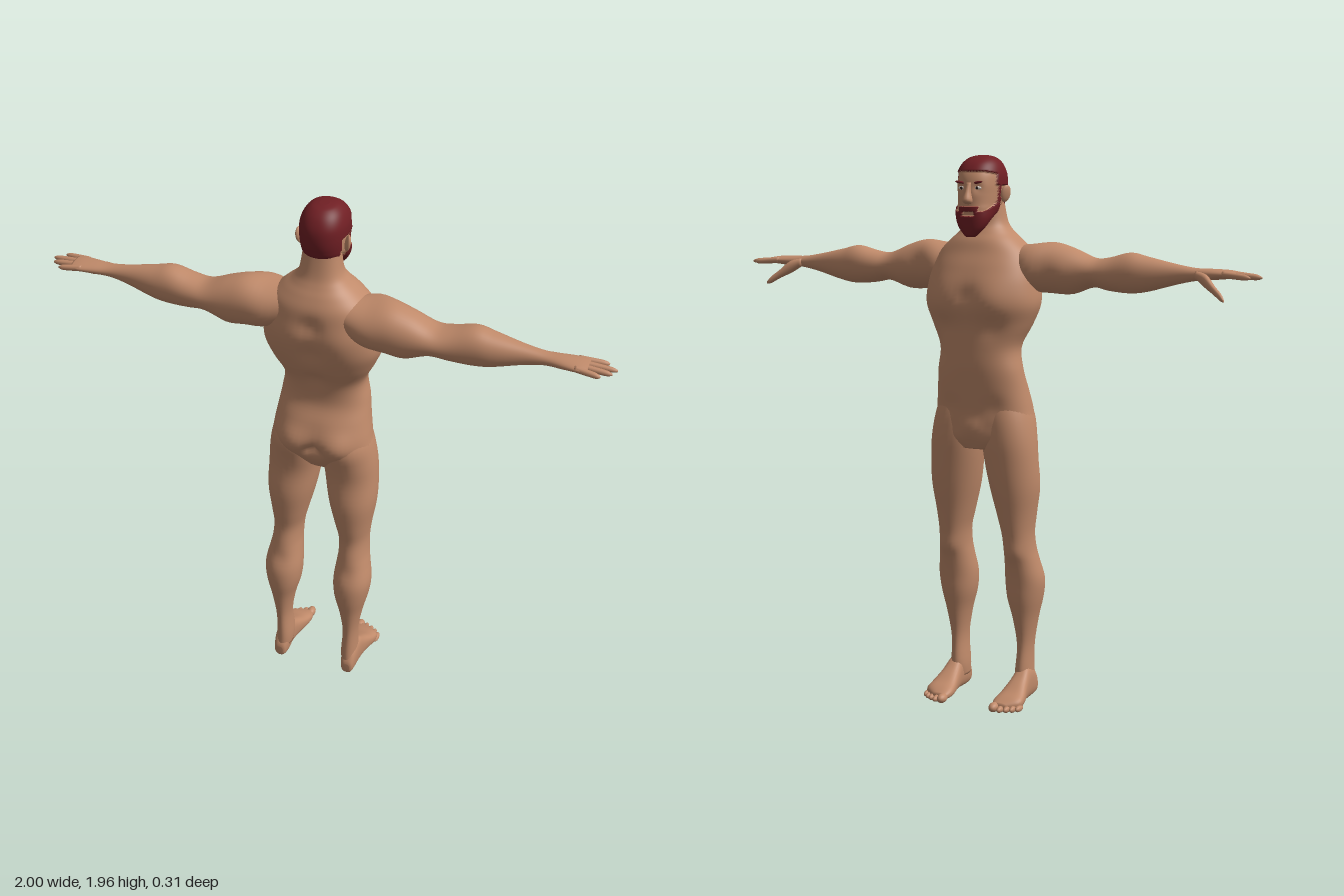
import * as THREE from 'three';

const mat = (name, hex) => Object.assign(new THREE.MeshStandardMaterial({ color: hex }), { name });

// Smooth spline value between control rows
function spline(rows, t) {
  const last = rows.length - 1;
  const i = Math.min(Math.floor(t), last - 1), f = t - i;
  const at = (k) => rows[Math.max(0, Math.min(last, k))];
  return rows[i].map((b, c) => {
    const a = at(i - 1)[c], d = at(i + 1)[c], e = at(i + 2)[c];
    return b + 0.5 * f * (d - a + f * (2 * a - 5 * b + 4 * d - e + f * (3 * (b - d) + e - a)));
  });
}

// Loft of rounded sections. Row = [t, u0, u1, v0, v1], t ascending along the axis.
// Axis x: u=y v=z. Axis y: u=z v=x. Axis z: u=x v=y.
function loft(axis, rows, { n = 32, sub = 4, p = 0.95 } = {}) {
  const pos = [], idx = [], steps = (rows.length - 1) * sub;
  const put = (t, u, v) => pos.push(...(axis === 'x' ? [t, u, v] : axis === 'y' ? [v, t, u] : [u, v, t]));
  const bend = (s) => Math.sign(s) * Math.abs(s) ** p;
  for (let i = 0; i <= steps; i++) {
    const [t, u0, u1, v0, v1] = spline(rows, i / sub);
    for (let j = 0; j < n; j++) {
      const a = (j / n) * Math.PI * 2;
      put(t, (u0 + u1) / 2 + (u1 - u0) / 2 * bend(Math.cos(a)), (v0 + v1) / 2 + (v1 - v0) / 2 * bend(Math.sin(a)));
    }
  }
  for (let i = 0; i < steps; i++) for (let j = 0; j < n; j++) {
    const k = (j + 1) % n, a = i * n + j, b = i * n + k;
    idx.push(a, b, b + n, a, b + n, a + n);
  }
  // End caps
  const base = (steps + 1) * n;
  for (const r of [rows[0], rows[rows.length - 1]]) put(r[0], (r[1] + r[2]) / 2, (r[3] + r[4]) / 2);
  for (let j = 0; j < n; j++) {
    const k = (j + 1) % n;
    idx.push(base, k, j, base + 1, steps * n + j, steps * n + k);
  }
  const g = new THREE.BufferGeometry();
  g.setAttribute('position', new THREE.Float32BufferAttribute(pos, 3));
  g.setIndex(idx);
  g.computeVertexNormals();
  return g;
}

// Push the surface along its normals by amount(x, y, z)
function displace(g, amount) {
  const P = g.attributes.position, N = g.attributes.normal;
  for (let i = 0; i < P.count; i++) {
    const x = P.getX(i), y = P.getY(i), z = P.getZ(i), d = amount(x, y, z);
    P.setXYZ(i, x + N.getX(i) * d, y + N.getY(i) * d, z + N.getZ(i) * d);
  }
  g.computeVertexNormals();
  return g;
}

// Soft muscles and grooves, the same on both sides: [x, y, z, radius, height]
const sculpt = (g, bumps) => displace(g, (x, y, z) => bumps.reduce((s, [bx, by, bz, r, h]) =>
  s + h * Math.exp(-((Math.abs(x) - bx) ** 2 + (y - by) ** 2 + (z - bz) ** 2) / (r * r)), 0));

function mirrored(g) {
  const m = g.clone().scale(-1, 1, 1), a = m.index.array;
  for (let i = 0; i < a.length; i += 3) [a[i], a[i + 1]] = [a[i + 1], a[i]];
  m.computeVertexNormals();
  return m;
}

const ball = (sx, sy, sz, x, y, z, tilt = 0) =>
  new THREE.SphereGeometry(1, 20, 14).scale(sx, sy, sz).rotateZ(tilt).translate(x, y, z);

// Hair, sideburns, beard and moustache region of the head
function isHair(x, y, z) {
  const ax = Math.abs(x);
  if (z > 0.03) return y > 1.785;
  if (z > -0.018) return y > 1.862 || y < 1.772;
  if (z > -0.045) return y > 1.865 || y < 1.80 || z > -0.038;
  if (y > 1.86) return y > 1.907 - 0.25 * Math.max(0, ax - 0.045);
  if (ax < 0.022 && z < -0.08 && y > 1.757 && y < 1.771) return false;
  if (ax < 0.034 && z < -0.08) return y < 1.789;
  return y < 1.772 + 0.5 * Math.max(0, z + 0.1);
}

export function createModel() {
  const model = new THREE.Group();
  model.name = 'figure';
  const skin = mat('skin', 0xc08a6a), hair = mat('hair', 0x701f24);
  const white = mat('eyeWhite', 0xd8cfc6), dark = mat('iris', 0x2a1a16);

  const add = (name, g, m) => {
    const mesh = new THREE.Mesh(g, m);
    mesh.name = name;
    model.add(mesh);
  };
  const pair = (name, g, m) => {
    add('left ' + name, g, m);
    add('right ' + name, mirrored(g), m);
  };

  // Torso and neck: y, front, back, half width
  const torso = [
    [0.94, -0.08, 0.07, 0.08], [0.98, -0.098, 0.098, 0.15], [1.03, -0.1, 0.122, 0.182], [1.08, -0.105, 0.128, 0.178],
    [1.15, -0.115, 0.108, 0.167], [1.22, -0.122, 0.079, 0.157], [1.3, -0.126, 0.086, 0.147], [1.38, -0.13, 0.12, 0.182],
    [1.45, -0.143, 0.143, 0.208], [1.52, -0.137, 0.152, 0.204], [1.58, -0.117, 0.15, 0.19], [1.63, -0.092, 0.143, 0.17],
    [1.67, -0.075, 0.125, 0.132], [1.7, -0.055, 0.107, 0.098], [1.73, -0.04, 0.093, 0.076], [1.78, -0.035, 0.081, 0.066],
    [1.84, -0.03, 0.07, 0.06],
  ].map(([y, f, b, w]) => [y, f, b, -w, w]);
  add('torso', sculpt(loft('y', torso, { n: 64, sub: 5, p: 0.86 }), [
    [0.085, 1.47, -0.13, 0.065, 0.012], [0, 1.48, -0.14, 0.03, -0.008], [0.09, 1.37, -0.12, 0.04, -0.006],
    [0, 1.57, 0.15, 0.035, -0.012], [0, 1.46, 0.145, 0.04, -0.012], [0, 1.33, 0.1, 0.04, -0.01],
    [0.1, 1.52, 0.14, 0.06, 0.008], [0.08, 1.07, 0.12, 0.055, 0.018], [0, 1.04, 0.125, 0.028, -0.03],
    [0, 1.02, -0.1, 0.035, 0.014], [0.09, 1.09, -0.1, 0.04, -0.006], [0, 1.25, -0.12, 0.06, 0.004],
  ]), skin);

  // Legs: y, front, back, inner x, outer x
  pair('leg', sculpt(loft('y', [
    [0.05, 0.03, 0.13, 0.105, 0.165], [0.1, 0.02, 0.128, 0.102, 0.162], [0.2, 0.028, 0.125, 0.108, 0.162],
    [0.3, 0.012, 0.136, 0.093, 0.178], [0.38, -0.005, 0.148, 0.072, 0.197], [0.45, -0.012, 0.145, 0.066, 0.205],
    [0.52, -0.025, 0.122, 0.072, 0.193], [0.57, -0.04, 0.11, 0.076, 0.184], [0.63, -0.05, 0.1, 0.072, 0.182],
    [0.7, -0.062, 0.108, 0.055, 0.19], [0.8, -0.08, 0.115, 0.03, 0.204], [0.9, -0.09, 0.102, 0.012, 0.203],
    [0.98, -0.095, 0.108, 0.003, 0.197], [1.06, -0.09, 0.113, 0.004, 0.182], [1.14, -0.07, 0.08, 0.02, 0.155],
  ]), [[0.13, 0.56, -0.04, 0.035, 0.006], [0.1, 1.03, 0.11, 0.05, 0.008], [0.13, 0.5, 0.12, 0.03, -0.004]]), skin);

  // Feet: z, inner x, outer x, bottom, top
  pair('foot', loft('z', [
    [-0.122, 0.095, 0.145, 0.006, 0.03], [-0.09, 0.086, 0.188, 0.002, 0.046], [-0.05, 0.09, 0.19, 0, 0.062],
    [0, 0.1, 0.178, 0.002, 0.092], [0.05, 0.108, 0.17, 0, 0.125], [0.1, 0.108, 0.166, 0, 0.11],
    [0.128, 0.115, 0.16, 0.005, 0.07], [0.135, 0.125, 0.15, 0.015, 0.05],
  ], { p: 0.8 }), skin);
  [[0.105, -0.127, 0.017], [0.13, -0.122, 0.011], [0.151, -0.112, 0.011], [0.17, -0.101, 0.01], [0.186, -0.086, 0.011]]
    .forEach(([x, z, r], i) => pair(`toe ${i + 1}`, ball(r, Math.max(r, 0.012), 0.026, x, Math.max(r, 0.012), z), skin));

  // Arms and palms: x, bottom, top, front, back
  pair('arm', sculpt(loft('x', [
    [0.08, 1.55, 1.655, 0, 0.12], [0.17, 1.5, 1.658, -0.055, 0.142], [0.25, 1.49, 1.666, -0.036, 0.14],
    [0.32, 1.49, 1.648, -0.026, 0.134], [0.4, 1.515, 1.616, -0.016, 0.123], [0.46, 1.506, 1.62, -0.018, 0.115],
    [0.535, 1.5, 1.638, -0.018, 0.108], [0.6, 1.508, 1.625, -0.01, 0.1], [0.7, 1.535, 1.604, 0.01, 0.077],
    [0.77, 1.55, 1.593, 0.015, 0.07], [0.83, 1.555, 1.592, 0.008, 0.08], [0.88, 1.56, 1.59, 0.002, 0.088],
    [0.91, 1.564, 1.586, 0.004, 0.084],
  ], { n: 40 }), [[0.2, 1.64, -0.02, 0.05, 0.006], [0.31, 1.5, 0.1, 0.04, 0.004], [0.3, 1.57, -0.02, 0.04, 0.006]]), skin);

  // Fingers: root z, tip z, tip x
  [[0.014, 0.0, 0.968], [0.035, 0.03, 1], [0.055, 0.056, 0.988], [0.075, 0.083, 0.955]].forEach(([z0, z1, tip], i) => {
    const rows = [[0, 0.011], [0.5, 0.0105], [0.85, 0.009], [1, 0.003]].map(([f, r]) => {
      const z = z0 + (z1 - z0) * f, y = 1.576 - 0.008 * f;
      return [0.87 + (tip - 0.87) * f, y - r, y + r, z - r, z + r];
    });
    pair(`finger ${i + 1}`, loft('x', rows, { n: 14 }), skin);
  });
  pair('thumb', loft('x', [
    [0.775, 1.558, 1.585, 0.01, 0.045], [0.815, 1.53, 1.575, -0.01, 0.03], [0.85, 1.511, 1.542, -0.026, 0.002],
    [0.88, 1.492, 1.516, -0.039, -0.018], [0.893, 1.489, 1.498, -0.041, -0.032],
  ], { n: 16 }), skin);

  // Head with hair and beard raised from the skin: y, front, back, half width
  const head = loft('y', [
    [1.692, -0.112, -0.085, 0.014], [1.72, -0.116, -0.062, 0.04], [1.75, -0.118, -0.03, 0.056], [1.78, -0.119, 0.03, 0.065],
    [1.8, -0.118, 0.07, 0.069], [1.83, -0.117, 0.084, 0.072], [1.865, -0.115, 0.088, 0.074], [1.9, -0.104, 0.083, 0.072],
    [1.93, -0.082, 0.066, 0.06], [1.949, -0.05, 0.042, 0.04], [1.956, -0.018, 0.016, 0.015],
  ].map(([y, f, b, w]) => [y, f, b, -w, w]), { n: 96, sub: 12, p: 0.88 });
  const H = head.attributes.position, flag = [];
  for (let i = 0; i < H.count; i++) flag.push(isHair(H.getX(i), H.getY(i), H.getZ(i)));
  const groups = [[], []], tri = head.index.array;
  for (let i = 0; i < tri.length; i += 3) {
    const c = [tri[i], tri[i + 1], tri[i + 2]];
    groups[c.filter((k) => flag[k]).length > 1 ? 1 : 0].push(...c);
  }
  displace(head, (x, y, z) => (isHair(x, y, z) ? 0.007 : 0)
    - 0.006 * Math.exp(-((Math.abs(x) - 0.03) ** 2 + (y - 1.853) ** 2 + (z + 0.11) ** 2) / 0.0003));
  head.setIndex([...groups[0], ...groups[1]]);
  head.addGroup(0, groups[0].length, 0);
  head.addGroup(groups[0].length, groups[1].length, 1);
  add('head with hair and beard', head, [skin, hair]);

  // Face details
  add('nose', loft('y', [
    [1.797, -0.126, -0.1, 0.01], [1.81, -0.144, -0.1, 0.017], [1.84, -0.132, -0.1, 0.01], [1.87, -0.119, -0.1, 0.009],
  ].map(([y, f, b, w]) => [y, f, b, -w, w]), { n: 20 }), skin);
  pair('ear', ball(0.009, 0.03, 0.02, 0, 0, 0).rotateY(0.5).rotateZ(-0.2).translate(0.082, 1.832, 0.006), skin);
  pair('eye', ball(0.013, 0.006, 0.006, 0.031, 1.852, -0.104), white);
  pair('iris', ball(0.005, 0.005, 0.003, 0.03, 1.852, -0.109), dark);
  pair('eyebrow', ball(0.02, 0.0045, 0.007, 0, 0, 0, 0.15).rotateY(0.25).translate(0.033, 1.871, -0.109), hair);

  return model;
}
